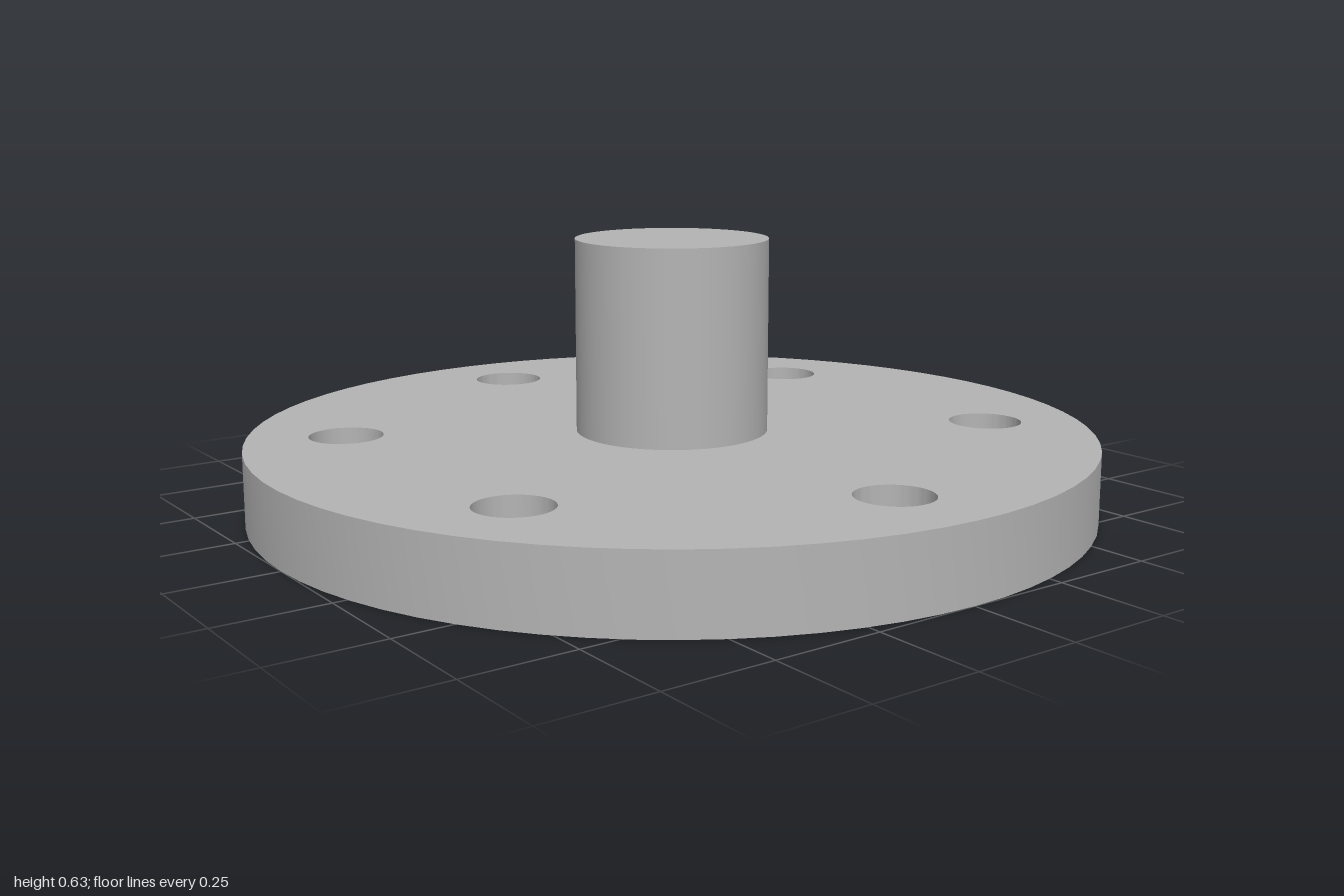
import * as THREE from 'three';
import { toCreasedNormals } from 'three/addons/utils/BufferGeometryUtils.js';

const FLANGE_RADIUS = 1, FLANGE_HEIGHT = 0.172;
const HOLE_COUNT = 6, HOLE_RADIUS = 0.087, HOLE_CIRCLE = 0.77;
const BOSS_RADIUS = 0.228, TOP = 0.63;

export function createModel() {
  const group = new THREE.Group();
  group.name = 'flangedShaft';
  const grey = new THREE.MeshStandardMaterial({ color: 0xb4b4b4 });
  grey.name = 'grey metal';

  // Flange disc with a ring of through holes, one of them on the z axis
  const disc = new THREE.Shape();
  disc.absarc(0, 0, FLANGE_RADIUS, 0, Math.PI * 2);
  for (let i = 0; i < HOLE_COUNT; i++) {
    const a = Math.PI / 2 + (i / HOLE_COUNT) * Math.PI * 2;
    const hole = new THREE.Path();
    hole.absarc(Math.cos(a) * HOLE_CIRCLE, Math.sin(a) * HOLE_CIRCLE, HOLE_RADIUS, 0, Math.PI * 2, true);
    disc.holes.push(hole);
  }
  const extruded = new THREE.ExtrudeGeometry(disc, { depth: FLANGE_HEIGHT, bevelEnabled: false, curveSegments: 36 });
  extruded.rotateX(-Math.PI / 2);
  const flange = new THREE.Mesh(toCreasedNormals(extruded, Math.PI / 6), grey);
  flange.name = 'flange';
  group.add(flange);

  // Solid central shaft standing on the flange
  const height = TOP - FLANGE_HEIGHT;
  const shaft = new THREE.Mesh(new THREE.CylinderGeometry(BOSS_RADIUS, BOSS_RADIUS, height, 72), grey);
  shaft.position.y = FLANGE_HEIGHT + height / 2;
  shaft.name = 'shaft';
  group.add(shaft);

  return group;
}
